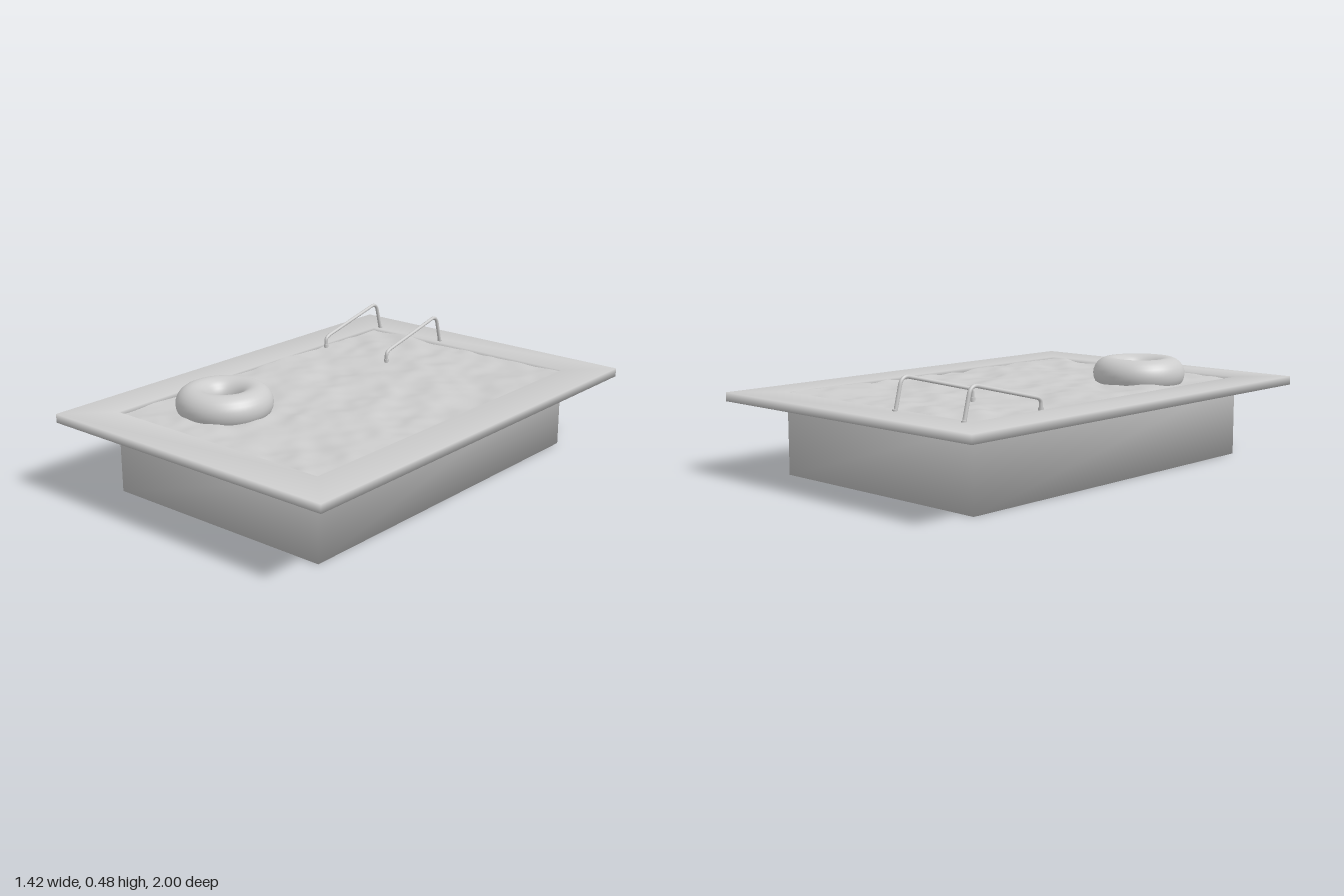
import * as THREE from 'three';
import { mergeVertices } from 'three/addons/utils/BufferGeometryUtils.js';

const grey = new THREE.MeshStandardMaterial({ color: 0xcccccc });
const greyThin = new THREE.MeshStandardMaterial({ color: 0xcccccc, side: THREE.DoubleSide });

const HALF_X = 0.538, HALF_Z = 0.82; // pool opening
const DECK_LOW = 0.31, DECK_TOP = 0.347;

// Weld corners and share normals so shading runs softly around the edges
function soften(geometry) {
  geometry.deleteAttribute('normal');
  geometry.deleteAttribute('uv');
  const welded = mergeVertices(geometry, 1e-4);
  welded.computeVertexNormals();
  return welded;
}

function addMesh(parent, name, geometry, material = grey) {
  const mesh = new THREE.Mesh(geometry, material);
  mesh.name = name;
  parent.add(mesh);
  return mesh;
}

function rectangle(target, x, z) {
  target.moveTo(-x, -z);
  target.lineTo(x, -z);
  target.lineTo(x, z);
  target.lineTo(-x, z);
  target.closePath();
  return target;
}

// Smoothly interpolated lattice noise in -1..1
function noise(x, z) {
  const hash = (i, j) => {
    const s = Math.sin(i * 127.1 + j * 311.7) * 43758.5453;
    return (s - Math.floor(s)) * 2 - 1;
  };
  const i = Math.floor(x), j = Math.floor(z);
  const u = THREE.MathUtils.smoothstep(x - i, 0, 1);
  const v = THREE.MathUtils.smoothstep(z - j, 0, 1);
  const { lerp } = THREE.MathUtils;
  return lerp(lerp(hash(i, j), hash(i + 1, j), u), lerp(hash(i, j + 1), hash(i + 1, j + 1), u), v);
}

// Open-topped basin
function basinGeometry() {
  const box = new THREE.BoxGeometry(2 * HALF_X, DECK_LOW + 0.01, 2 * HALF_Z);
  const index = Array.from(box.index.array);
  index.splice(12, 6); // drop the top face
  box.setIndex(index);
  box.clearGroups();
  box.translate(0, (DECK_LOW + 0.01) / 2, 0);
  return soften(box);
}

// Flat surround with a rectangular opening
function deckGeometry() {
  const shape = rectangle(new THREE.Shape(), 0.712, 1);
  shape.holes.push(rectangle(new THREE.Path(), HALF_X, HALF_Z));
  const deck = new THREE.ExtrudeGeometry(shape, { depth: DECK_TOP - DECK_LOW, bevelEnabled: false });
  deck.rotateX(-Math.PI / 2).translate(0, DECK_LOW, 0);
  return soften(deck);
}

// Rippled water sheet
function waterGeometry() {
  const water = new THREE.PlaneGeometry(2 * HALF_X, 2 * HALF_Z, 72, 108);
  water.rotateX(-Math.PI / 2);
  const p = water.attributes.position;
  for (let k = 0; k < p.count; k++) {
    const x = p.getX(k), z = p.getZ(k);
    const a = x * 0.8 + z * 0.6, b = z * 0.8 - x * 0.6;
    p.setY(k, 0.338 + 0.009 * noise(a * 7, b * 11) + 0.004 * noise(a * 15 + 9, b * 18 + 4));
  }
  water.computeVertexNormals();
  return water;
}

// Bent grab rail with a small collar at each foot
function handrail(x) {
  const rail = new THREE.Group();
  rail.name = 'handrail';
  const path = new THREE.CurvePath();
  const v = (y, z) => new THREE.Vector3(0, y, z);
  path.add(new THREE.LineCurve3(v(0.335, -0.847), v(0.44, -0.82)));
  path.add(new THREE.QuadraticBezierCurve3(v(0.44, -0.82), v(0.48, -0.81), v(0.468, -0.77)));
  path.add(new THREE.LineCurve3(v(0.468, -0.77), v(0.394, -0.465)));
  path.add(new THREE.QuadraticBezierCurve3(v(0.394, -0.465), v(0.387, -0.437), v(0.37, -0.437)));
  path.add(new THREE.LineCurve3(v(0.37, -0.437), v(0.325, -0.437)));
  addMesh(rail, 'railTube', new THREE.TubeGeometry(path, 96, 0.008, 10, false));
  for (const z of [-0.846, -0.437]) {
    addMesh(rail, 'railCollar', new THREE.CylinderGeometry(0.011, 0.011, 0.012, 12))
      .position.set(0, DECK_TOP, z);
  }
  rail.position.x = x;
  return rail;
}

export function createModel() {
  const pool = new THREE.Group();
  pool.name = 'swimmingPool';

  addMesh(pool, 'basin', basinGeometry(), greyThin);
  addMesh(pool, 'deck', deckGeometry());
  addMesh(pool, 'water', waterGeometry(), greyThin);

  // Floating ring
  const ring = new THREE.TorusGeometry(0.131, 0.07, 24, 56).rotateX(Math.PI / 2);
  addMesh(pool, 'swimRing', ring).position.set(-0.25, 0.37, 0.5);

  for (const x of [-0.517, -0.152]) pool.add(handrail(x));
  return pool;
}
